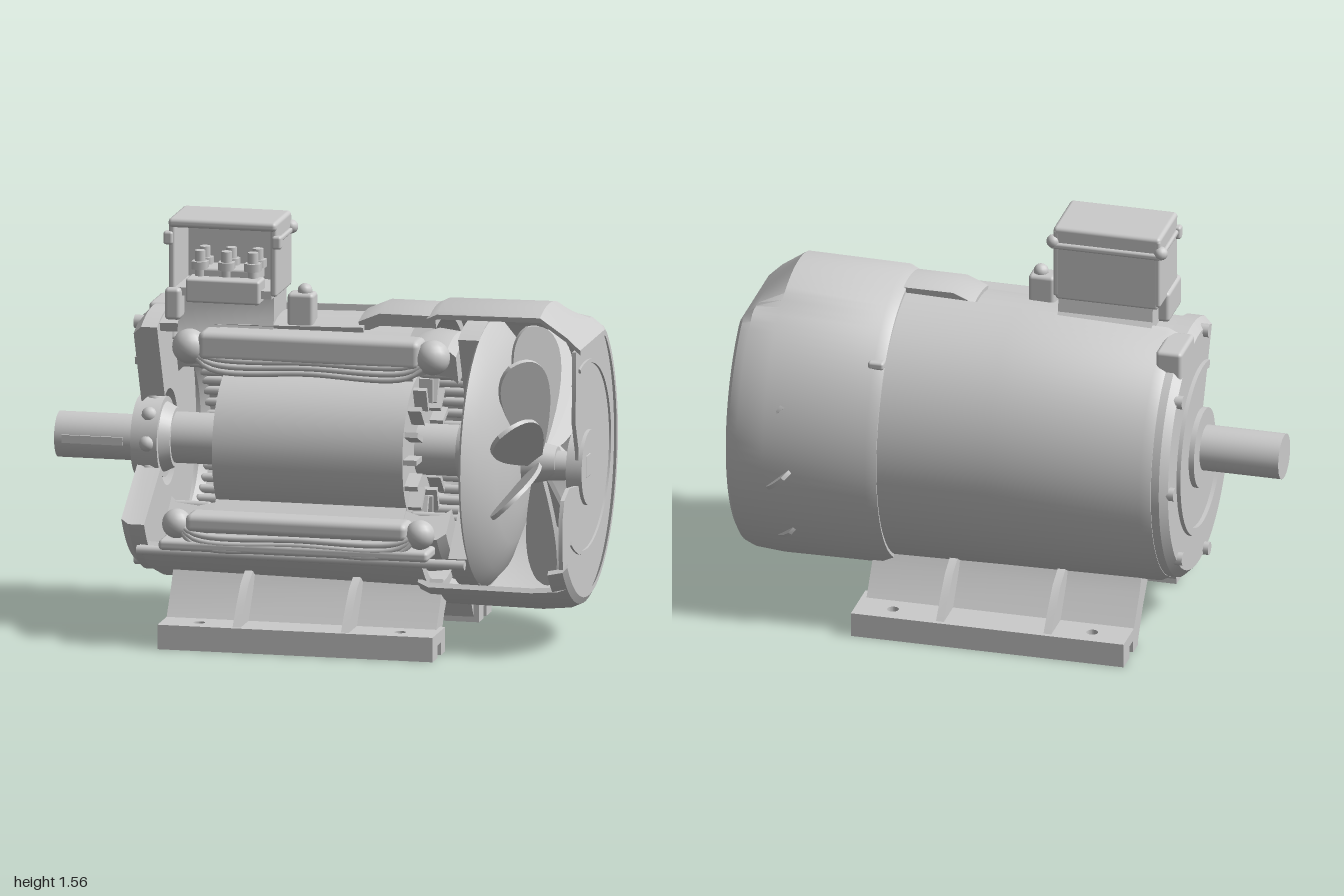
import * as THREE from 'three';
import { toCreasedNormals } from 'three/addons/utils/BufferGeometryUtils.js';
import { RoundedBoxGeometry } from 'three/addons/geometries/RoundedBoxGeometry.js';

const AXIS = 0.7; // height of the motor axis, which runs along x
const RAD = Math.PI / 180;

export function createModel() {
  const root = new THREE.Group();
  root.name = 'cutawayMotor';
  const mat = new THREE.MeshStandardMaterial({ color: 0xcccccc, side: THREE.DoubleSide });

  const add = (name, geo) => {
    const m = new THREE.Mesh(geo, mat);
    m.name = name;
    root.add(m);
    return m;
  };
  const box = (name, x0, x1, y0, y1, z0, z1, r = 0) => {
    const s = [x1 - x0, y1 - y0, z1 - z0];
    const g = r ? new RoundedBoxGeometry(...s, 2, r) : new THREE.BoxGeometry(...s);
    return add(name, g.translate((x0 + x1) / 2, (y0 + y1) / 2, (z0 + z1) / 2));
  };
  const cylX = (name, x0, x1, r0, r1 = r0, y = AXIS, z = 0, n = 40) =>
    add(name, new THREE.CylinderGeometry(r1, r0, x1 - x0, n).rotateZ(-Math.PI / 2).translate((x0 + x1) / 2, y, z));
  const tube = (name, pts, r) => {
    const c = new THREE.CatmullRomCurve3(pts.map(p => new THREE.Vector3(...p)));
    return add(name, new THREE.TubeGeometry(c, 32, r, 10));
  };
  // Extrude a (z, y) outline along x
  const extrudeX = (name, pts, x0, x1) => {
    const s = new THREE.Shape(pts.map(([z, y]) => new THREE.Vector2(-z, y)));
    const g = new THREE.ExtrudeGeometry(s, { depth: x1 - x0, bevelEnabled: false });
    return add(name, toCreasedNormals(g.rotateY(Math.PI / 2).translate(x0, 0, 0), 0.5));
  };
  // Thick elliptical arc wall around the axis; stations are [x, ry, rz, topLimit]
  const shell = (name, stations, a, b, t, n = 64) => {
    const pos = [], idx = [], ring = 2 * (n + 1);
    for (const [x, ry, rz, cap = 9] of stations)
      for (let j = 0; j < ring; j++) {
        const inner = j > n, i = inner ? 2 * n + 1 - j : j;
        const th = (a + (b - a) * i / n) * RAD, d = inner ? t : 0;
        pos.push(x, Math.min(AXIS + (ry - d) * Math.sin(th), cap - d), (rz - d) * Math.cos(th));
      }
    for (let s = 0; s < stations.length - 1; s++)
      for (let j = 0; j < ring; j++) {
        const p = s * ring + j, q = s * ring + (j + 1) % ring;
        idx.push(p, p + ring, q, q, p + ring, q + ring);
      }
    const end = (stations.length - 1) * ring;
    for (let j = 0; j < n; j++) {
      const k = ring - 1 - j;
      idx.push(j, j + 1, k, j + 1, k - 1, k);
      idx.push(end + j, end + k, end + j + 1, end + j + 1, end + k, end + k - 1);
    }
    const g = new THREE.BufferGeometry();
    g.setAttribute('position', new THREE.Float32BufferAttribute(pos, 3));
    g.setIndex(idx);
    return add(name, toCreasedNormals(g, 0.5));
  };

  // Cut-open housing with a lower ledge along the top, stator and end shields
  shell('housing', [[-0.62, 0.49, 0.465], [-0.58, 0.51, 0.475], [0, 0.52, 0.48], [0.45, 0.53, 0.485]], 98, 316, 0.035);
  shell('topLedge', [[-0.6, 0.48, 0.465], [0.18, 0.5, 0.475]], 72, 99, 0.035, 12);
  shell('raisedLedge', [[0.16, 0.515, 0.48], [0.24, 0.55, 0.485], [0.45, 0.55, 0.485]], 74, 98, 0.05, 12);
  shell('stator', [[-0.36, 0.48, 0.45], [0.36, 0.48, 0.45]], 66, 323, 0.18);
  shell('frontEndShield', [[-0.68, 0.46, 0.44], [-0.65, 0.49, 0.46], [-0.59, 0.49, 0.46]], 66, 329, 0.31);
  shell('endShieldRing', [[-0.695, 0.33, 0.32], [-0.67, 0.33, 0.32]], 72, 318, 0.03);
  shell('rearEndShield', [[0.55, 0.5, 0.47], [0.63, 0.5, 0.47]], 66, 318, 0.34);
  for (const side of [-1, 1]) {
    shell('endWinding', [[0.36, 0.43, 0.4], [0.42, 0.45, 0.42], [0.5, 0.44, 0.41], [0.53, 0.41, 0.38]]
      .map(([x, ...r]) => [side * x, ...r]), 68, 322, 0.12);
    // Coil ridges on the winding overhang
    for (let a = 75; a < 320; a += 9) {
      const rib = add('coilRidge', new THREE.CapsuleGeometry(0.017, 0.12, 3, 8).rotateZ(Math.PI / 2));
      rib.position.set(side * 0.45, AXIS + 0.31 * Math.sin(a * RAD), 0.29 * Math.cos(a * RAD));
    }
  }
  for (const a of [80, 135, 180, 225, 280])
    cylX('shieldBolt', -0.7, -0.64, 0.025, 0.025, AXIS + 0.45 * Math.sin(a * RAD), 0.42 * Math.cos(a * RAD), 10);
  box('shieldLug', -0.68, -0.58, 1.05, 1.19, -0.25, -0.06, 0.015);

  // Exposed coils along both cut faces: [y, z, half height, end radius]
  for (const [y, z, r, end] of [[1.1, 0.205, 0.055, 0.065], [0.475, 0.41, 0.035, 0.055]]) {
    box('slotCoil', -0.42, 0.42, y - r, y + r, z - 0.065, z + 0.06, 0.025);
    for (const x of [-0.46, 0.46])
      add('coilEnd', new THREE.SphereGeometry(end, 16, 12)).position.set(x, y - 0.01, z + 0.01);
    for (let k = 0; k < 3; k++) {
      const low = y - 0.04 - 0.02 * k;
      tube('coilWire', [[-0.46, y, z + 0.03], [-0.38, low, z + 0.045], [0, low - 0.005, z + 0.045],
        [0.38, low, z + 0.045], [0.46, y, z + 0.03]], 0.012);
    }
  }
  box('lowerCoilTray', -0.52, 0.5, 0.37, 0.41, 0.33, 0.47, 0.015);
  cylX('tieRod', -0.62, 0.62, 0.018, 0.018, 0.35, 0.38, 12);

  // Rotor, shaft and bearings
  cylX('rotor', -0.36, 0.36, 0.28);
  for (let i = 0; i < 16; i++) {
    const a = i * Math.PI / 8;
    const v = add('rotorVane', new THREE.BoxGeometry(0.05, 0.09, 0.02));
    v.position.set(0.385, AXIS + 0.22 * Math.cos(a), 0.22 * Math.sin(a));
    v.rotation.x = a;
  }
  cylX('outputShaft', -1, -0.66, 0.085, 0.085, 0.695, 0.015);
  box('shaftKey', -0.97, -0.74, 0.68, 0.71, 0.09, 0.107);
  cylX('innerShaft', -0.66, 0.62, 0.095);
  cylX('rearShaft', 0.6, 0.96, 0.075, 0.05, 0.66, -0.01);
  cylX('frontBearing', -0.7, -0.6, 0.15, 0.15);
  cylX('frontBearingCap', -0.6, -0.56, 0.13, 0.11);
  cylX('rearBearing', 0.52, 0.62, 0.11, 0.14);
  for (let i = 0; i < 8; i++) {
    const a = i * Math.PI / 4;
    add('bearingBall', new THREE.SphereGeometry(0.03, 10, 8))
      .position.set(-0.64, AXIS + 0.14 * Math.sin(a), 0.14 * Math.cos(a));
  }

  // Fan with a domed back plate and pitched blades
  const dome = new THREE.LatheGeometry([[0.08, 0.76], [0.2, 0.75], [0.33, 0.725], [0.44, 0.68], [0.495, 0.63], [0.48, 0.62], [0.08, 0.64]]
    .map(p => new THREE.Vector2(...p)), 56).rotateZ(-Math.PI / 2);
  add('fanBackPlate', toCreasedNormals(dome, 0.6)).position.y = AXIS;
  cylX('fanHub', 0.7, 0.88, 0.1, 0.06, 0.67, -0.01);
  const lobe = new THREE.Shape();
  lobe.moveTo(-0.03, 0.06);
  lobe.bezierCurveTo(-0.08, 0.2, -0.17, 0.45, -0.05, 0.51);
  lobe.bezierCurveTo(0.07, 0.53, 0.16, 0.4, 0.03, 0.06);
  const bladeGeo = toCreasedNormals(new THREE.ExtrudeGeometry(lobe, { depth: 0.016, bevelEnabled: false, curveSegments: 14 })
    .rotateY(0.75), 0.5);
  for (let i = 0; i < 9; i++) {
    const b = add('fanBlade', bladeGeo);
    b.position.set(0.8, 0.67, -0.01);
    b.rotation.x = (97 - i * 360 / 11) * RAD;
  }

  // Fan cover: chamfered at the top, open toward the front
  const top = x => 1.27 - Math.max(0, x - 0.85) * 0.95;
  shell('fanCover', [[0.42, 0.545, 0.49], [0.46, 0.565, 0.5], [0.85, 0.57, 0.5], [0.95, 0.56, 0.498], [0.985, 0.545, 0.485], [1, 0.52, 0.465]]
    .map(s => [...s, top(s[0])]), 72.5, 306, 0.02);
  shell('fanCoverLip', [[0.93, 0.56, 0.498], [0.985, 0.545, 0.485], [1, 0.52, 0.465]], 304, 318, 0.02, 8);
  const plate = [];
  for (let a = 72.5; a <= 318; a += 3.5)
    plate.push([0.475 * Math.cos(a * RAD), Math.min(AXIS + 0.53 * Math.sin(a * RAD), 1.12)]);
  plate.push([0.36, 0.4], [0.36, 0.53], [0.33, 0.6], [0.25, 0.63], [0.1, 0.61], [0.1, 0.74], [0.15, 0.85]);
  extrudeX('fanCoverEnd', plate, 0.97, 0.985);
  shell('fanCoverRib', [[0.98, 0.36, 0.4], [0.993, 0.36, 0.4]], 75, 308, 0.015);
  cylX('hubDisc', 0.938, 0.998, 0.14, 0.14, 0.655, -0.03);
  box('hubSocket', 0.99, 1, 0.625, 0.71, -0.03, 0.03, 0.004);
  box('coverClip', 0.42, 0.48, 1.05, 1.08, -0.39, -0.34, 0.01);

  // Mounting feet: slotted rail, drilled pad, sloping web and two gussets
  for (const s of [-1, 1]) {
    const flat = (name, pts, y, depth, holes = []) => {
      const shape = new THREE.Shape(pts.map(([x, z]) => new THREE.Vector2(x, s * z)));
      for (const x of holes) shape.holes.push(new THREE.Path().absarc(x, s * 0.4, 0.022, 0, Math.PI * 2));
      add(name, new THREE.ExtrudeGeometry(shape, { depth, bevelEnabled: false }).rotateX(Math.PI / 2)
        .scale(1, 1, 1).translate(0, y, 0));
    };
    flat('footRail', [[-0.52, 0.27], [0.52, 0.27], [0.52, 0.34], [0.46, 0.34], [0.46, 0.39], [0.52, 0.39],
      [0.52, 0.475], [-0.52, 0.475], [-0.52, 0.39], [-0.46, 0.39], [-0.46, 0.34], [-0.52, 0.34]], 0.05, 0.05);
    flat('footPad', [[-0.52, 0.27], [0.52, 0.27], [0.52, 0.475], [-0.52, 0.475]], 0.092, 0.045, [-0.38, 0.38]);
    const webX = [-0.52, 0.5];
    extrudeX('footWeb', [[0.27, 0.02], [0.33, 0.09], [0.25, 0.2], [0.22, 0.26], [0.12, 0.22], [0.2, 0.13]]
      .map(([z, y]) => [s * z, y]), ...webX);
    for (const x of [-0.24, 0.17])
      extrudeX('footGusset', [[0.46, 0.09], [0.4, 0.16], [0.33, 0.23], [0.25, 0.27], [0.2, 0.22], [0.28, 0.08]]
        .map(([z, y]) => [s * z, y]), x, x + 0.03);
  }

  // Terminal box, open at the front, on its flared saddle
  extrudeX('terminalSaddle', [[0.16, 1.12], [0.13, 1.2], [0.13, 1.29], [-0.06, 1.29], [-0.07, 1.22], [-0.13, 1.15]], -0.52, -0.16);
  box('boxFloor', -0.53, -0.16, 1.27, 1.3, -0.06, 0.17);
  box('boxBack', -0.54, -0.15, 1.27, 1.55, -0.07, -0.045, 0.01);
  for (const x of [-0.55, -0.165])
    box('boxSide', x, x + 0.025, 1.28, 1.55, -0.07, 0.175, 0.01);
  box('boxLid', -0.55, -0.14, 1.525, 1.56, -0.07, 0.185, 0.015);
  box('lidRim', -0.555, -0.13, 1.475, 1.5, -0.08, -0.045, 0.01);
  for (const x of [-0.55, -0.14]) {
    box('sideRim', x - 0.01, x + 0.01, 1.48, 1.5, -0.07, 0.18, 0.008);
    add('lidScrew', new THREE.SphereGeometry(0.026, 12, 10)).position.set(x, 1.5, -0.06);
    box('frontLug', x - 0.018, x + 0.018, 1.46, 1.51, 0.15, 0.185, 0.01);
  }
  box('terminalTray', -0.48, -0.2, 1.25, 1.34, 0.1, 0.2, 0.01);
  box('terminalBlock', -0.46, -0.22, 1.32, 1.37, 0.02, 0.14, 0.01);
  for (let i = 0; i < 6; i++) {
    const x = -0.44 + (i % 3) * 0.1, z = i < 3 ? 0.05 : 0.13;
    add('terminalPost', new THREE.CylinderGeometry(0.02, 0.02, 0.1, 10)).position.set(x, 1.385, z);
    add('terminalNut', new THREE.CylinderGeometry(0.034, 0.034, 0.03, 6)).position.set(x, 1.38, z);
  }
  box('cableBracket', -0.56, -0.5, 1.18, 1.3, 0.02, 0.2, 0.015);

  // Lifting lug
  box('liftingLug', -0.11, -0.01, 1.16, 1.29, 0.06, 0.14, 0.015);
  add('lugKnob', new THREE.SphereGeometry(0.028, 12, 10)).position.set(-0.05, 1.295, 0.1);

  return root;
}
